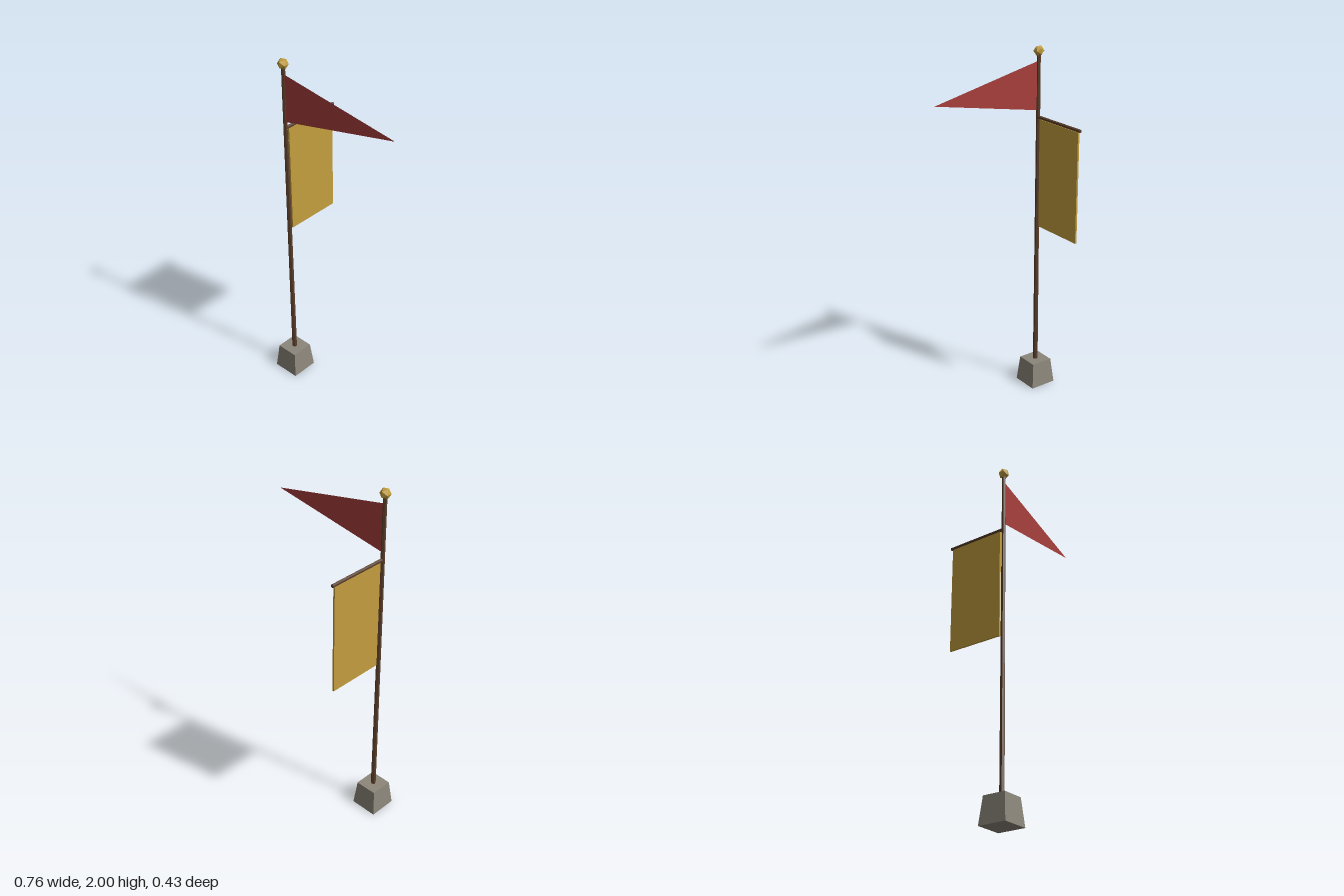
import * as THREE from 'three';

const paint = (name, color, extra = {}) => {
  const m = new THREE.MeshStandardMaterial({ color, ...extra });
  m.name = name;
  return m;
};

export function createModel() {
  const stone = paint('stone', 0x8c867a, { flatShading: true });
  const wood = paint('wood', 0x5a3e2b, { flatShading: true });
  const gold = paint('gold', 0xc49f3f, { flatShading: true });
  const red = paint('red cloth', 0xa83e3b, { flatShading: true, side: THREE.DoubleSide });

  // everything is placed relative to the pole's axis
  const model = new THREE.Group();
  model.name = 'flagpole';
  const pole = new THREE.Group();
  pole.name = 'poleAssembly';
  pole.position.set(-0.303, 0, 0.136);
  model.add(pole);
  const add = (name, geometry, material, x, y, z) => {
    const mesh = new THREE.Mesh(geometry, material);
    mesh.name = name;
    mesh.position.set(x, y, z);
    pole.add(mesh);
    return mesh;
  };

  // tapered square stone foot
  const foot = new THREE.CylinderGeometry(0.127 / Math.SQRT2, 0.157 / Math.SQRT2, 0.147, 4);
  foot.rotateY(Math.PI / 4);
  add('base', foot, stone, 0, 0.0735, 0);

  // slim tapered shaft and faceted finial
  add('shaft', new THREE.CylinderGeometry(0.0105, 0.014, 1.82, 6), wood, 0, 1.05, 0);
  add('finial', new THREE.IcosahedronGeometry(0.0295, 0), gold, 0, 1.975, 0);

  // crossbar reaching backwards, with the hanging banner
  const bar = new THREE.CylinderGeometry(0.0095, 0.0095, 0.353, 6);
  bar.rotateX(Math.PI / 2);
  add('crossbar', bar, wood, 0, 1.618, -0.1765);
  add('banner', new THREE.BoxGeometry(0.01, 0.616, 0.32), gold, 0, 1.301, -0.18);

  // triangular pennant, angled slightly backwards
  const pennant = new THREE.BufferGeometry();
  pennant.setAttribute('position', new THREE.Float32BufferAttribute([
    0.005, 1.655, 0.002, 0.681, 1.787, -0.043, 0.005, 1.92, 0.002,
  ], 3));
  pennant.computeVertexNormals();
  add('pennant', pennant, red, 0, 0, 0);

  return model;
}
